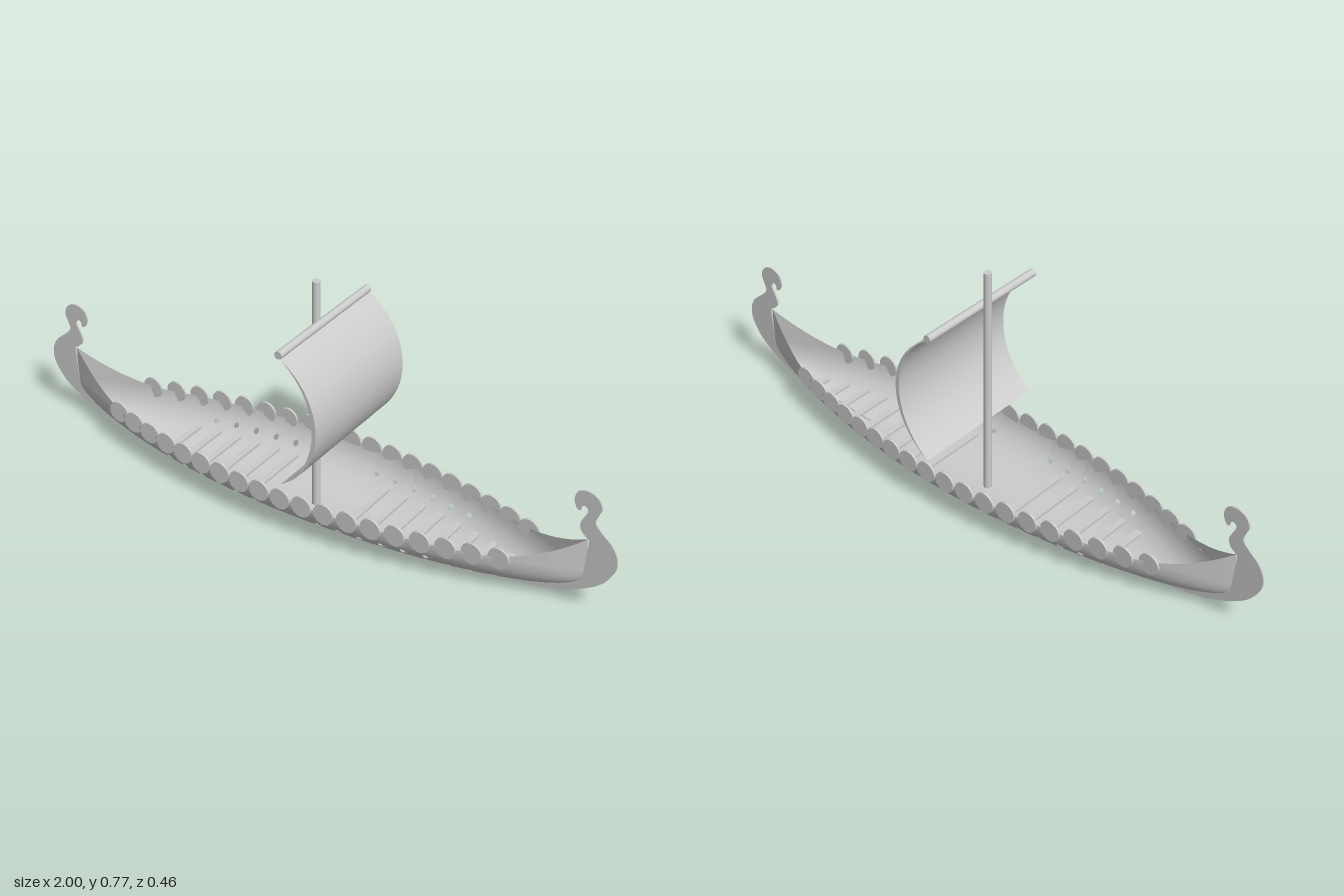
import * as THREE from 'three';
import { mergeVertices } from 'three/addons/utils/BufferGeometryUtils.js';

const L = 0.905, SHEER = 0.13, DEG = Math.PI / 180;
const halfWidth = x => 0.188 * Math.max(0, 1 - (x / L) ** 2);
const depth = x => 0.127 * Math.sqrt(Math.max(0, 1 - (x / L) ** 4));
const rim = x => SHEER + 0.11 * (Math.max(0, Math.abs(x) - 0.6) / 0.305) ** 2;
// point on the half-elliptic hull, t running from one side (0) to the other (180)
const hullPoint = (x, t) => [x, SHEER - depth(x) * Math.sin(t * DEG), halfWidth(x) * Math.cos(t * DEG)];

const grey = new THREE.MeshStandardMaterial({ color: 0xcccccc });
const greyThin = new THREE.MeshStandardMaterial({ color: 0xcccccc, side: THREE.DoubleSide });

function part(parent, name, geometry, x = 0, y = 0, z = 0, material = grey) {
  const mesh = new THREE.Mesh(geometry, material);
  mesh.name = name;
  mesh.position.set(x, y, z);
  parent.add(mesh);
  return mesh;
}

// collects quads and welds them into one smooth surface
function surface(build) {
  const pos = [];
  build((a, b, c, d) => pos.push(...a, ...b, ...c, ...a, ...c, ...d));
  let g = new THREE.BufferGeometry();
  g.setAttribute('position', new THREE.Float32BufferAttribute(pos, 3));
  g = mergeVertices(g, 1e-5);
  g.computeVertexNormals();
  return g;
}

// rounded lower hull, with oar holes cut into both sides
function hullGeometry() {
  const holes = [];
  for (let i = 0; i < 6; i++) holes.push(0.113 + i * 0.069, -0.113 - i * 0.069);
  const xs = holes.flatMap(x => [x - 0.012, x + 0.012]);
  for (let i = 0; i <= 60; i++) {
    const x = L * Math.sin((i / 30 - 1) * Math.PI / 2);
    if (!holes.some(h => Math.abs(h - x) < 0.016)) xs.push(x);
  }
  xs.sort((a, b) => a - b);
  const ts = [0];
  for (let t = 5; t <= 175; t += 10) ts.push(t);
  ts.push(180);
  return surface(quad => {
    for (let i = 0; i < xs.length - 1; i++) for (let j = 0; j < ts.length - 1; j++) {
      const x0 = xs[i], x1 = xs[i + 1], t0 = ts[j], t1 = ts[j + 1];
      const xc = (x0 + x1) / 2, tc = (t0 + t1) / 2;
      const isHole = (tc === 30 || tc === 150) && holes.some(h => Math.abs(h - xc) < 1e-6);
      if (!isHole) {
        quad(hullPoint(x0, t0), hullPoint(x1, t0), hullPoint(x1, t1), hullPoint(x0, t1));
        continue;
      }
      // ring between the cell border and the round hole
      const ring = k => {
        const a = k * Math.PI / 4, c = Math.cos(a), s = Math.sin(a);
        return {
          out: hullPoint(xc + Math.round(c) * 0.012, tc + Math.round(s) * 5),
          hole: hullPoint(xc + c * 0.0085, tc + s * 4.3),
        };
      };
      for (let k = 0; k < 8; k++) {
        const p = ring(k), q = ring((k + 1) % 8);
        quad(p.out, q.out, q.hole, p.hole);
      }
    }
  });
}

// upright wall that sweeps up to the stem
function bowWallGeometry(end, side) {
  const at = i => end * (0.6 + (L - 0.6) * i / 20);
  return surface(quad => {
    for (let i = 0; i < 20; i++) {
      const a = at(i), b = at(i + 1), za = side * halfWidth(a), zb = side * halfWidth(b);
      const q = [[a, SHEER, za], [b, SHEER, zb], [b, rim(b), zb], [a, rim(a), za]];
      if (end * side < 0) q.reverse();
      quad(...q);
    }
  });
}

// flat stem plate ending in an inward scroll
function stemGeometry() {
  const v = pts => pts.map(([x, y]) => new THREE.Vector2(x, y));
  const s = new THREE.Shape();
  s.moveTo(0.45, 0.001);
  s.splineThru(v([[0.6, 0.004], [0.72, 0.012], [0.84, 0.042], [0.94, 0.095], [0.988, 0.15], [1, 0.2],
    [0.983, 0.245], [0.945, 0.28], [0.925, 0.305], [0.932, 0.33], [0.941, 0.357], [0.928, 0.386],
    [0.897, 0.398], [0.866, 0.387], [0.856, 0.358], [0.865, 0.332]]));
  s.splineThru(v([[0.876, 0.328], [0.88, 0.343], [0.893, 0.347], [0.9, 0.333], [0.888, 0.308],
    [0.879, 0.283], [0.886, 0.26], [0.91, 0.24]]));
  s.lineTo(0.9, 0.13);
  s.splineThru(v([[0.87, 0.09], [0.8, 0.058], [0.7, 0.033], [0.6, 0.02], [0.45, 0.009]]));
  s.closePath();
  return new THREE.ExtrudeGeometry(s, { depth: 0.006, bevelEnabled: false, curveSegments: 60 }).translate(0, 0, -0.003);
}

// crescent-section sail, bellied forward
function sailGeometry() {
  const s = new THREE.Shape();
  s.absarc(-0.092, 0.427, 0.244, -1.037, 1.037, false);
  s.absarc(-0.121, 0.427, 0.26, 0.94, -0.94, true);
  return new THREE.ExtrudeGeometry(s, { depth: 0.456, bevelEnabled: false, curveSegments: 32 }).translate(0, 0, -0.228);
}

export function createModel() {
  const ship = new THREE.Group();
  ship.name = 'longship';

  part(ship, 'hull', hullGeometry(), 0, 0, 0, greyThin);
  const stem = stemGeometry();
  for (const end of [1, -1]) {
    for (const side of [1, -1]) part(ship, 'bowWall', bowWallGeometry(end, side), 0, 0, 0, greyThin);
    part(ship, end > 0 ? 'leftStem' : 'rightStem', stem).rotation.y = end > 0 ? 0 : Math.PI;
  }

  // shields along both rails
  const shields = new THREE.Group();
  shields.name = 'shields';
  ship.add(shields);
  const disc = new THREE.CylinderGeometry(0.034, 0.034, 0.007, 24).rotateX(Math.PI / 2);
  for (let i = -9; i <= 9; i++) for (const side of [1, -1]) {
    const x = i * 0.075;
    part(shields, 'shield', disc, x, 0.131, side * (halfWidth(x) + 0.002));
  }

  // rowing benches, each cut to the width of the hull
  const benches = new THREE.Group();
  benches.name = 'benches';
  ship.add(benches);
  const addBench = x => {
    const y = 0.044, half = halfWidth(x) * Math.sqrt(1 - ((SHEER - y) / depth(x)) ** 2);
    part(benches, 'bench', new THREE.BoxGeometry(0.022, 0.008, 2 * half), x, y, 0);
  };
  for (let i = 0; i < 9; i++) addBench(0.165 + i * 0.068);
  for (let i = 0; i < 6; i++) addBench(-0.165 - i * 0.068);

  // rig
  part(ship, 'mast', new THREE.CylinderGeometry(0.0125, 0.0125, 0.765, 24), 0, 0.3875, 0);
  part(ship, 'yard', new THREE.CylinderGeometry(0.0125, 0.0125, 0.456, 24).rotateX(Math.PI / 2), 0.026, 0.647, 0);
  part(ship, 'sail', sailGeometry());
  return ship;
}
